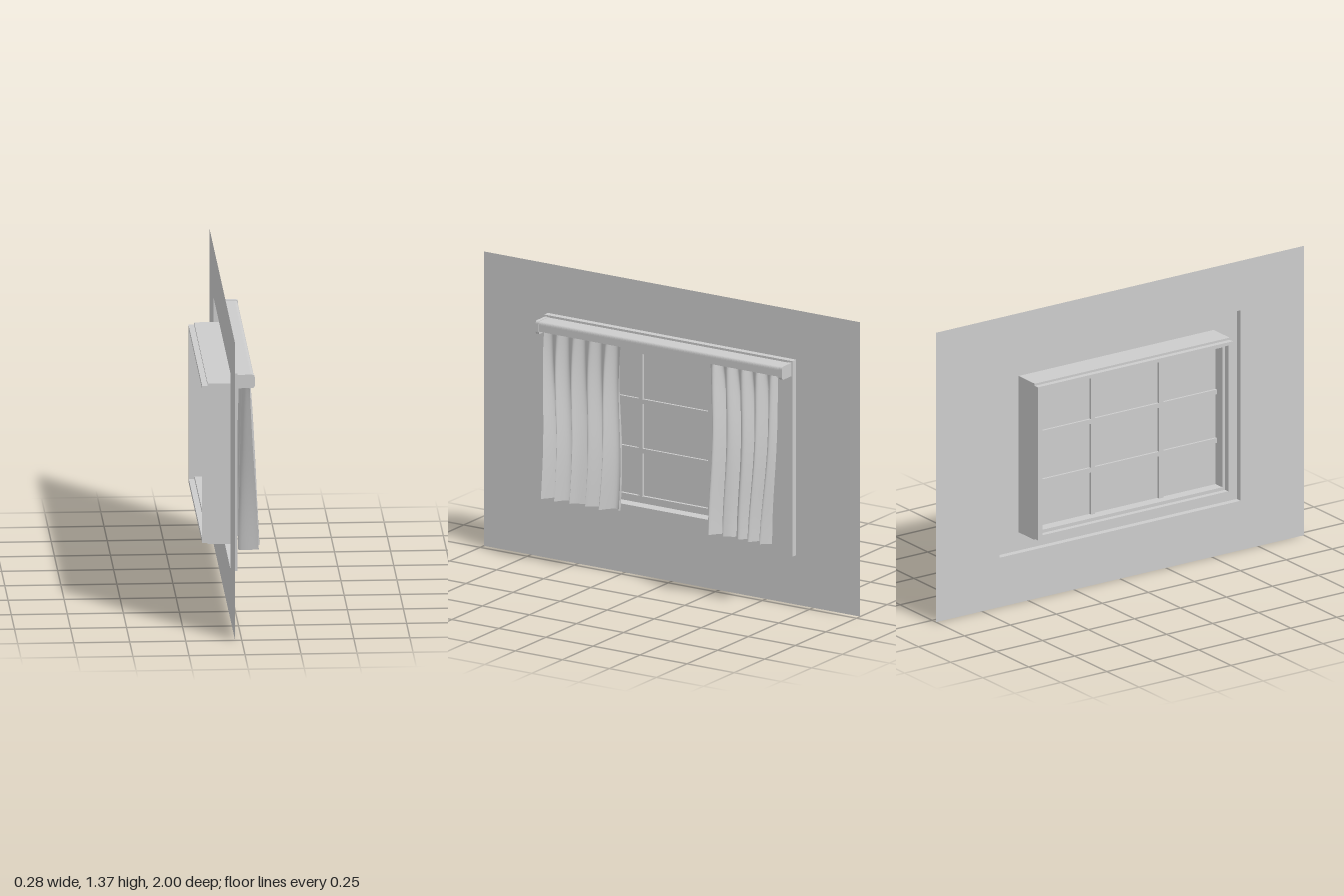
import * as THREE from 'three';

const mat = new THREE.MeshStandardMaterial({ color: 0xcccccc, side: THREE.DoubleSide });

function add(parent, name, geometry) {
  const mesh = new THREE.Mesh(geometry, mat);
  mesh.name = name;
  parent.add(mesh);
  return mesh;
}

// Rectangle path: half width along z, bottom and top height
function rect(PathType, half, y0, y1) {
  const p = new PathType();
  p.moveTo(-half, y0);
  p.lineTo(half, y0);
  p.lineTo(half, y1);
  p.lineTo(-half, y1);
  p.closePath();
  return p;
}

// Rectangular ring facing +x, flat when x0 equals x1
function ring(outer, inner, x0, x1) {
  const shape = rect(THREE.Shape, ...outer);
  shape.holes.push(rect(THREE.Path, ...inner));
  const g = x0 === x1
    ? new THREE.ShapeGeometry(shape)
    : new THREE.ExtrudeGeometry(shape, { depth: x1 - x0, bevelEnabled: false });
  return g.rotateY(Math.PI / 2).translate(x0, 0, 0);
}

function box(x0, x1, y0, y1, z0, z1) {
  return new THREE.BoxGeometry(x1 - x0, y1 - y0, z1 - z0)
    .translate((x0 + x1) / 2, (y0 + y1) / 2, (z0 + z1) / 2);
}

// Extrude an x/y profile along z
function alongZ(shape, z0, z1) {
  return new THREE.ExtrudeGeometry(shape, { depth: z1 - z0, bevelEnabled: false, curveSegments: 6 })
    .translate(0, 0, z0);
}

// Hanging cloth whose folds deepen and drift towards the hem
function curtainGeometry({ zTop, zHem, hemY, firstFold, pitch, depth, centre, seed }) {
  const topY = 1.09;
  const g = new THREE.PlaneGeometry(1, 1, 96, 28);
  const pos = g.attributes.position;
  for (let i = 0; i < pos.count; i++) {
    const u = pos.getX(i) + 0.5;
    const d = 0.5 - pos.getY(i);
    const grow = Math.pow(d, 0.7);
    const phase = (2 * Math.PI * (u - firstFold)) / pitch + 0.5 * Math.sin(3 * d + seed) * (1 - d);
    const strength = 0.65 + 0.35 * Math.pow(Math.abs(2 * u - 1), 1.5);
    const amp = 0.012 + (depth - 0.012) * grow * strength;
    const wave = Math.cos(phase) + 0.15 * Math.sin(2.3 * phase + seed) * d;
    const x = THREE.MathUtils.lerp(0.048, centre, grow) + amp * wave;
    const z0 = THREE.MathUtils.lerp(zTop[0], zTop[1], u);
    const z1 = THREE.MathUtils.lerp(zHem[0], zHem[1], u);
    const z = THREE.MathUtils.lerp(z0, z1, d)
      + 0.012 * grow * Math.sin(phase + seed) + 0.006 * Math.sin(6 * d + seed);
    const y = THREE.MathUtils.lerp(topY, hemY + 0.006 * Math.cos(phase), d);
    pos.setXYZ(i, Math.max(x, 0.004), y, z);
  }
  g.computeVertexNormals();
  return g;
}

export function createModel() {
  const model = new THREE.Group();
  model.name = 'curtainedWindow';

  // Wall sheet with an opening for the casing
  const casing = [0.66, 0.23, 1.14];
  const opening = [0.53, 0.32, 1.06];
  add(model, 'wall', ring([1, 0, 1.37], casing, -0.03, -0.03));

  // Casing: flat face with a thin rim, hollow behind
  add(model, 'casingFace', ring(casing, opening, 0, 0));
  add(model, 'casingRim', ring(casing, [0.656, 0.234, 1.136], -0.03, 0));

  // Window: deep lining, sash, pane and glazing bars
  const window = new THREE.Group();
  window.name = 'window';
  model.add(window);
  add(window, 'lining', ring(opening, [0.522, 0.328, 1.052], -0.125, 0));
  add(window, 'backTrim', ring([0.53, 0.325, 1.05], [0.505, 0.345, 1.035], -0.15, -0.125));
  add(window, 'sash', ring([0.522, 0.328, 1.052], [0.49, 0.36, 1.022], -0.125, -0.055));
  add(window, 'pane', box(-0.073, -0.069, 0.355, 1.027, -0.495, 0.495));
  for (const z of [-0.185, 0.185])
    add(window, 'uprightBar', box(-0.086, -0.056, 0.36, 1.022, z - 0.011, z + 0.011));
  for (const y of [0.57, 0.8])
    add(window, 'crossBar', box(-0.084, -0.058, y - 0.011, y + 0.011, -0.49, 0.49));

  // Pelmet: rounded top and front board, open below, with end cheeks
  const pelmet = new THREE.Group();
  pelmet.name = 'pelmet';
  model.add(pelmet);
  const board = new THREE.Shape();
  board.moveTo(0, 1.13);
  board.lineTo(0.06, 1.13);
  board.quadraticCurveTo(0.076, 1.13, 0.076, 1.114);
  board.lineTo(0.076, 1.083);
  board.lineTo(0.066, 1.083);
  board.lineTo(0.066, 1.118);
  board.lineTo(0, 1.118);
  board.closePath();
  add(pelmet, 'pelmetBoard', alongZ(board, -0.64, 0.64));
  const cheek = new THREE.Shape();
  cheek.moveTo(0, 1.07);
  cheek.lineTo(0.065, 1.07);
  cheek.quadraticCurveTo(0.078, 1.07, 0.078, 1.083);
  cheek.lineTo(0.078, 1.118);
  cheek.quadraticCurveTo(0.078, 1.132, 0.064, 1.132);
  cheek.lineTo(0, 1.132);
  cheek.closePath();
  add(pelmet, 'leftCheek', alongZ(cheek, 0.638, 0.655));
  add(pelmet, 'rightCheek', alongZ(cheek, -0.655, -0.638));

  // Curtains
  add(model, 'leftCurtain', curtainGeometry({
    zTop: [0.62, 0.215], zHem: [0.6, 0.235], hemY: 0.31,
    firstFold: 0.19, pitch: 0.215, depth: 0.05, centre: 0.058, seed: 0.6,
  }));
  add(model, 'rightCurtain', curtainGeometry({
    zTop: [-0.25, -0.615], zHem: [-0.285, -0.605], hemY: 0.3,
    firstFold: 0.1, pitch: 0.2125, depth: 0.062, centre: 0.07, seed: 2.1,
  }));

  return model;
}
